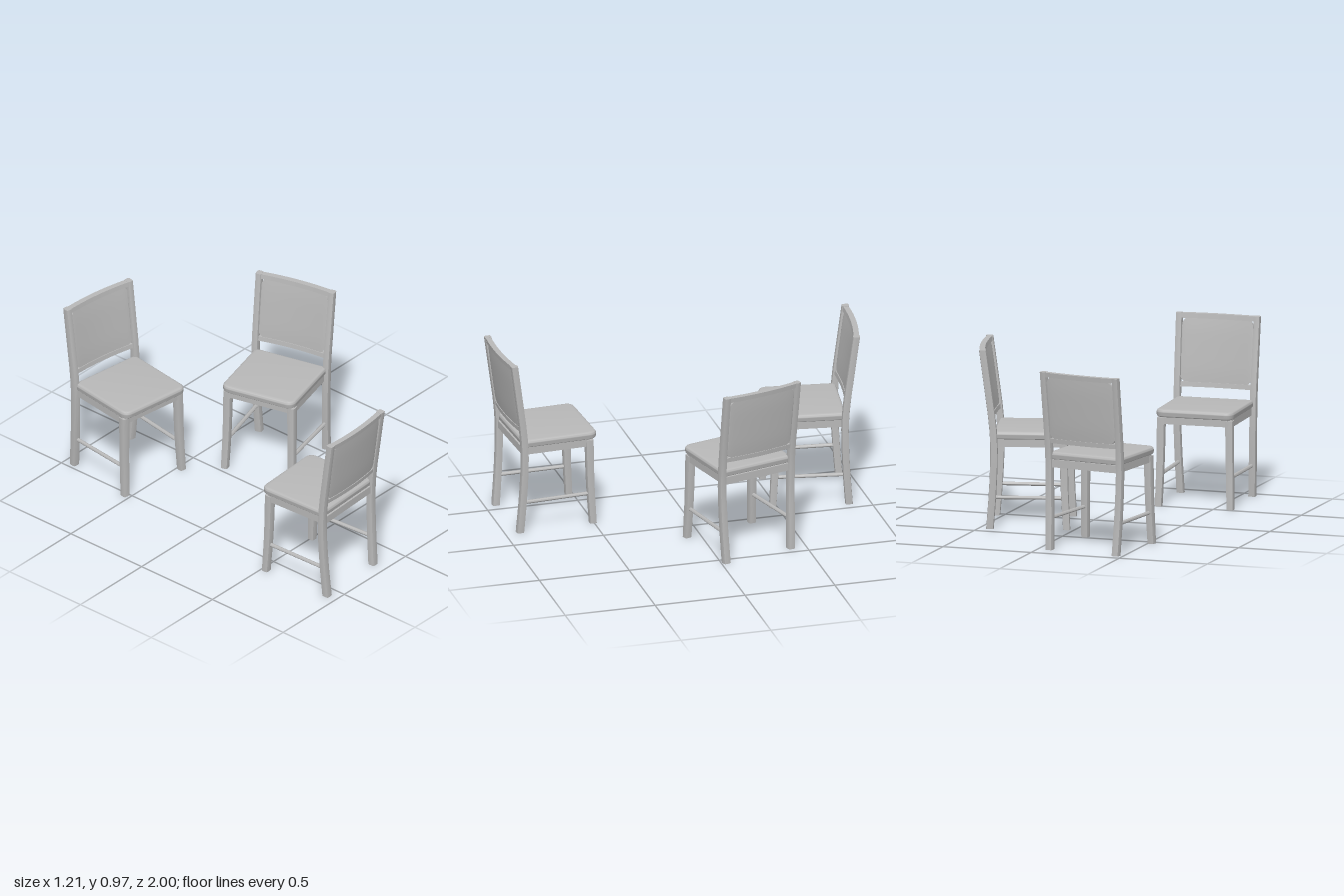
import * as THREE from 'three';
import { toCreasedNormals } from 'three/addons/utils/BufferGeometryUtils.js';

const grey = new THREE.MeshStandardMaterial({ color: 0xb8b8b8 });
grey.name = 'plain grey';

function add(group, name, geometry, x = 0, y = 0, z = 0) {
  const mesh = new THREE.Mesh(geometry, grey);
  mesh.name = name;
  mesh.position.set(x, y, z);
  group.add(mesh);
  return mesh;
}

// Moves every vertex by a rule and refreshes the normals
function reshape(geometry, rule) {
  const pos = geometry.attributes.position;
  const v = new THREE.Vector3();
  for (let i = 0; i < pos.count; i++) {
    rule(v.fromBufferAttribute(pos, i));
    pos.setXYZ(i, v.x, v.y, v.z);
  }
  return toCreasedNormals(geometry, 0.6);
}

const curve = (points) => new THREE.CatmullRomCurve3(points.map((p) => new THREE.Vector3(...p)));

// Soft-edged square bar that follows a path; sizes are [width, depth] at each end
function bar(path, bottom, top) {
  return reshape(new THREE.CylinderGeometry(1, 1, 1, 16, 12), (v) => {
    const t = THREE.MathUtils.clamp(v.y + 0.5, 0, 1);
    const p = path.getPoint(t);
    const k = Math.pow(v.x ** 6 + v.z ** 6, 1 / 6);
    const s = k > 0.01 ? 0.5 / k : 0;
    v.set(
      p.x + v.x * s * THREE.MathUtils.lerp(bottom[0], top[0], t),
      p.y,
      p.z + v.z * s * THREE.MathUtils.lerp(bottom[1], top[1], t));
  });
}

const postPath = (side) => curve([
  [side * 0.2, 0, -0.212], [side * 0.207, 0.2, -0.197], [side * 0.212, 0.42, -0.189],
  [side * 0.213, 0.56, -0.196], [side * 0.215, 0.75, -0.22], [side * 0.217, 0.972, -0.25],
]);

// Backward lean of the posts, and the shallow bow of everything between them
const lean = (y) => -0.196 - 0.131 * (y - 0.56);
const bow = (x) => -0.014 * (1 - (x / 0.21) ** 2);

// Piece of the backrest, bent to the lean and bow, with optional round corners
function backPiece(width, low, high, depth, radius = 0, puff = 0) {
  const mid = (low + high) / 2, half = (high - low) / 2;
  return reshape(new THREE.BoxGeometry(2, 2, depth, 32, 8, 1), (v) => {
    const x = Math.sin(v.x * Math.PI / 2) * width / 2;
    const inCorner = Math.max(0, Math.abs(x) - (width / 2 - radius));
    const h = half - radius + Math.sqrt(Math.max(0, radius ** 2 - inCorner ** 2));
    const swell = Math.sign(v.z) * puff * (1 - v.x ** 4) * (1 - v.y ** 4);
    const y = mid + v.y * h;
    v.set(x, y, lean(y) + bow(x) + v.z + swell);
  });
}

// Seat outline in plan, wide radius at the front corners
function seatGeometry() {
  const w = 0.202, f = 0.212, b = 0.182, r = 0.035, q = 0.015;
  const s = new THREE.Shape();
  s.moveTo(-w + r, -f);
  s.lineTo(w - r, -f);
  s.quadraticCurveTo(w, -f, w, -f + r);
  s.lineTo(w, b - q);
  s.quadraticCurveTo(w, b, w - q, b);
  s.lineTo(-w + q, b);
  s.quadraticCurveTo(-w, b, -w, b - q);
  s.lineTo(-w, -f + r);
  s.quadraticCurveTo(-w, -f, -w + r, -f);
  const g = new THREE.ExtrudeGeometry(s, {
    depth: 0.008, bevelThickness: 0.017, bevelSize: 0.014, bevelSegments: 5, curveSegments: 8,
  });
  g.rotateX(-Math.PI / 2);
  // the outline was drawn with the front at -y, which is now +z
  return toCreasedNormals(g, 0.7);
}

function createChair() {
  const chair = new THREE.Group();
  chair.name = 'chair';

  add(chair, 'seat', seatGeometry(), 0, 0.503, 0);

  // Legs, side aprons and side stretchers
  for (const side of [1, -1]) {
    const name = side > 0 ? 'left' : 'right';
    add(chair, name + 'BackPost', bar(postPath(side), [0.04, 0.04], [0.034, 0.038]));
    const frontLeg = curve([
      [side * 0.2, 0, 0.2], [side * 0.194, 0.22, 0.188], [side * 0.19, 0.48, 0.182],
    ]);
    add(chair, name + 'FrontLeg', bar(frontLeg, [0.038, 0.038], [0.044, 0.044]));
    add(chair, name + 'Apron', new THREE.BoxGeometry(0.024, 0.042, 0.37), side * 0.195, 0.467, -0.002);
    const stretcher = curve([[side * 0.204, 0.17, -0.2], [side * 0.195, 0.17, 0.19]]);
    const rod = reshape(new THREE.CylinderGeometry(0.5, 0.5, 1, 12, 1), (v) => {
      const p = stretcher.getPoint(THREE.MathUtils.clamp(v.y + 0.5, 0, 1));
      v.set(p.x + v.x * 0.022, p.y - v.z * 0.02, p.z);
    });
    // thin bar running from back leg to front leg
    add(chair, name + 'Stretcher', rod);
  }

  // Front and back aprons
  add(chair, 'frontApron', new THREE.BoxGeometry(0.37, 0.042, 0.024), 0, 0.467, 0.188);
  add(chair, 'backApron', new THREE.BoxGeometry(0.4, 0.042, 0.024), 0, 0.467, -0.188);

  // Backrest
  add(chair, 'topRail', backPiece(0.424, 0.945, 0.971, 0.03));
  add(chair, 'lowerRail', backPiece(0.42, 0.58, 0.605, 0.024));
  add(chair, 'backPad', backPiece(0.396, 0.602, 0.949, 0.016, 0.04, 0.004));
  return chair;
}

export function createModel() {
  const model = new THREE.Group();
  model.name = 'chairSet';
  // x, z and turn in degrees of each chair
  const places = [[-0.293, -0.703, -8.1], [0.286, -0.168, -75.5], [-0.379, 0.715, 183]];
  places.forEach(([x, z, turn], i) => {
    const chair = createChair();
    chair.name = 'chair' + (i + 1);
    chair.position.set(x, 0, z);
    chair.rotation.y = THREE.MathUtils.degToRad(turn);
    model.add(chair);
  });
  return model;
}
